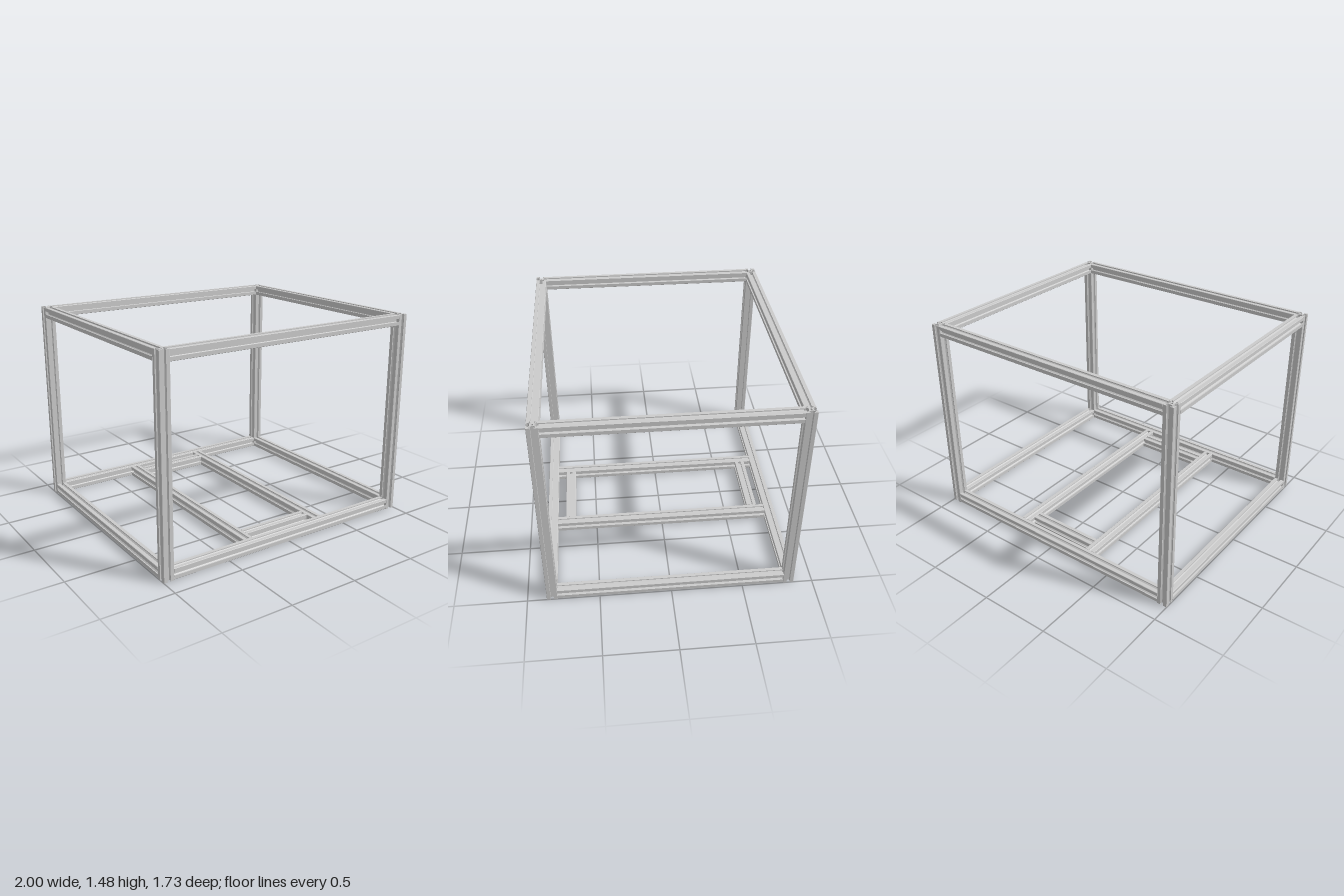
import * as THREE from 'three';

const SIZE = 0.075, H = SIZE / 2;      // bar width
const HEIGHT = 1.475, X = 1 - H, Z = 0.867 - H;
const LOW = 0.005 + H, HIGH = HEIGHT - H;

// Slotted aluminium profile: one quarter of the outline, turned four times
function profile() {
  const quarter = [[4, -3], [4, 3], [6.6, 5.6], [8.2, 5.6], [8.2, 3], [10, 3], [10, 9.4],
    [9.4, 10], [3, 10], [3, 8.2], [5.6, 8.2], [5.6, 6.6], [3, 4]];
  const u = H / 10, points = [];
  for (let i = 0; i < 4; i++) {
    for (const [a, b] of quarter.slice(1)) {
      const [x, y] = [[a, b], [-b, a], [-a, -b], [b, -a]][i];
      points.push(new THREE.Vector2(x * u, y * u));
    }
  }
  const shape = new THREE.Shape(points);
  shape.holes.push(new THREE.Path().absarc(0, 0, 2.1 * u, 0, Math.PI * 2, true));
  return shape;
}

export function createModel() {
  const group = new THREE.Group();
  const material = new THREE.MeshStandardMaterial({ color: 0xcccccc });
  const section = profile();

  // Bar of a given length, centred on a point and running along one axis
  function bar(name, axis, length, x, y, z) {
    const geometry = new THREE.ExtrudeGeometry(section, { depth: length, bevelEnabled: false, curveSegments: 4 });
    geometry.translate(0, 0, -length / 2);
    if (axis === 'x') geometry.rotateY(Math.PI / 2);
    if (axis === 'y') geometry.rotateX(-Math.PI / 2);
    const mesh = new THREE.Mesh(geometry, material);
    mesh.name = name;
    mesh.position.set(x, y, z);
    group.add(mesh);
  }

  const spanX = 2 * (X - H), spanZ = 2 * (Z - H);

  // Corner posts
  for (const sx of [-1, 1]) for (const sz of [-1, 1])
    bar(`${sz > 0 ? 'front' : 'back'}${sx > 0 ? 'Left' : 'Right'}Post`, 'y', HEIGHT, sx * X, HEIGHT / 2, sz * Z);

  // Bottom and top rails between the posts
  for (const [level, y] of [['bottom', LOW], ['top', HIGH]]) {
    for (const s of [-1, 1]) {
      bar(`${level}${s > 0 ? 'Front' : 'Back'}Rail`, 'x', spanX, 0, y, s * Z);
      bar(`${level}${s > 0 ? 'Left' : 'Right'}Rail`, 'z', spanZ, s * X, y, 0);
    }
  }

  // Floor joists and the short cross members between them
  const right = -0.305, left = 0.3;
  bar('rightJoist', 'z', spanZ, right, LOW, 0);
  bar('leftJoist', 'z', spanZ, left, LOW, 0);
  for (const [name, z] of [['frontCrossMember', 0.692], ['backCrossMember', -0.703]])
    bar(name, 'x', left - right - SIZE, (left + right) / 2, LOW, z);

  return group;
}
